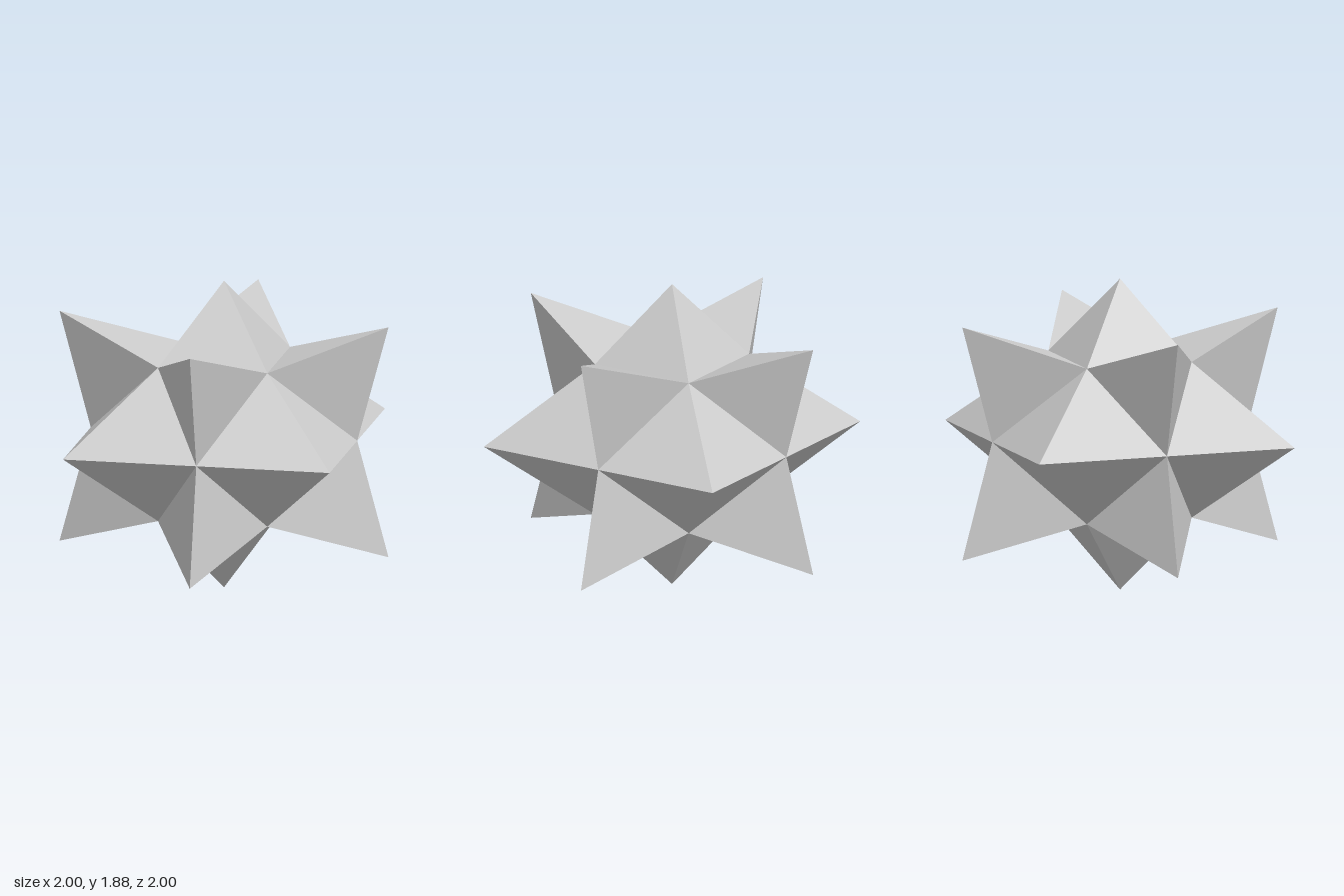
import * as THREE from 'three';

const MID = 0.94;  // height of the centre, also the reach of the top and bottom spikes
const A = 0.332;   // half width of the upper and lower inner squares
const H = 0.47;    // their height above and below the centre
const E = 0.81;    // reach of the inner corners on the equator
const T = 0.705;   // height of the slanted spike tips above and below the centre

// Open pyramid over a ring of base points, listed anticlockwise as seen from outside
function spikeGeometry(base, tip) {
  const points = base.flatMap((p, i) => [...p, ...base[(i + 1) % base.length], ...tip]);
  const geometry = new THREE.BufferGeometry();
  geometry.setAttribute('position', new THREE.Float32BufferAttribute(points, 3));
  geometry.computeVertexNormals();
  return geometry;
}

export function createModel() {
  const model = new THREE.Group();
  model.name = 'stellatedStar';
  const material = new THREE.MeshStandardMaterial({ color: 0xcccccc, flatShading: true });

  const addSpike = (name, geometry, turn = 0) => {
    const mesh = new THREE.Mesh(geometry, material);
    mesh.name = name;
    mesh.position.y = MID;
    mesh.rotation.y = turn;
    model.add(mesh);
  };

  // Four-sided spikes at the top and bottom
  const square = y => [[A, y, A], [A, y, -A], [-A, y, -A], [-A, y, A]];
  addSpike('topSpike', spikeGeometry(square(H), [0, MID, 0]));
  addSpike('bottomSpike', spikeGeometry(square(-H).reverse(), [0, -MID, 0]));

  // Three slanted kinds of spike, each repeated around the vertical axis
  const upper = spikeGeometry([[-A, H, A], [0, 0, E], [A, H, A]], [0, T, 1]);
  const lower = spikeGeometry([[0, 0, E], [-A, -H, A], [A, -H, A]], [0, -T, 1]);
  const corner = spikeGeometry([[A, H, A], [0, 0, E], [A, -H, A], [E, 0, 0]], [E, 0, E]);
  for (let i = 0; i < 4; i++) {
    const turn = i * Math.PI / 2;
    addSpike('upperSpike', upper, turn);
    addSpike('lowerSpike', lower, turn);
    addSpike('cornerSpike', corner, turn);
  }
  return model;
}
